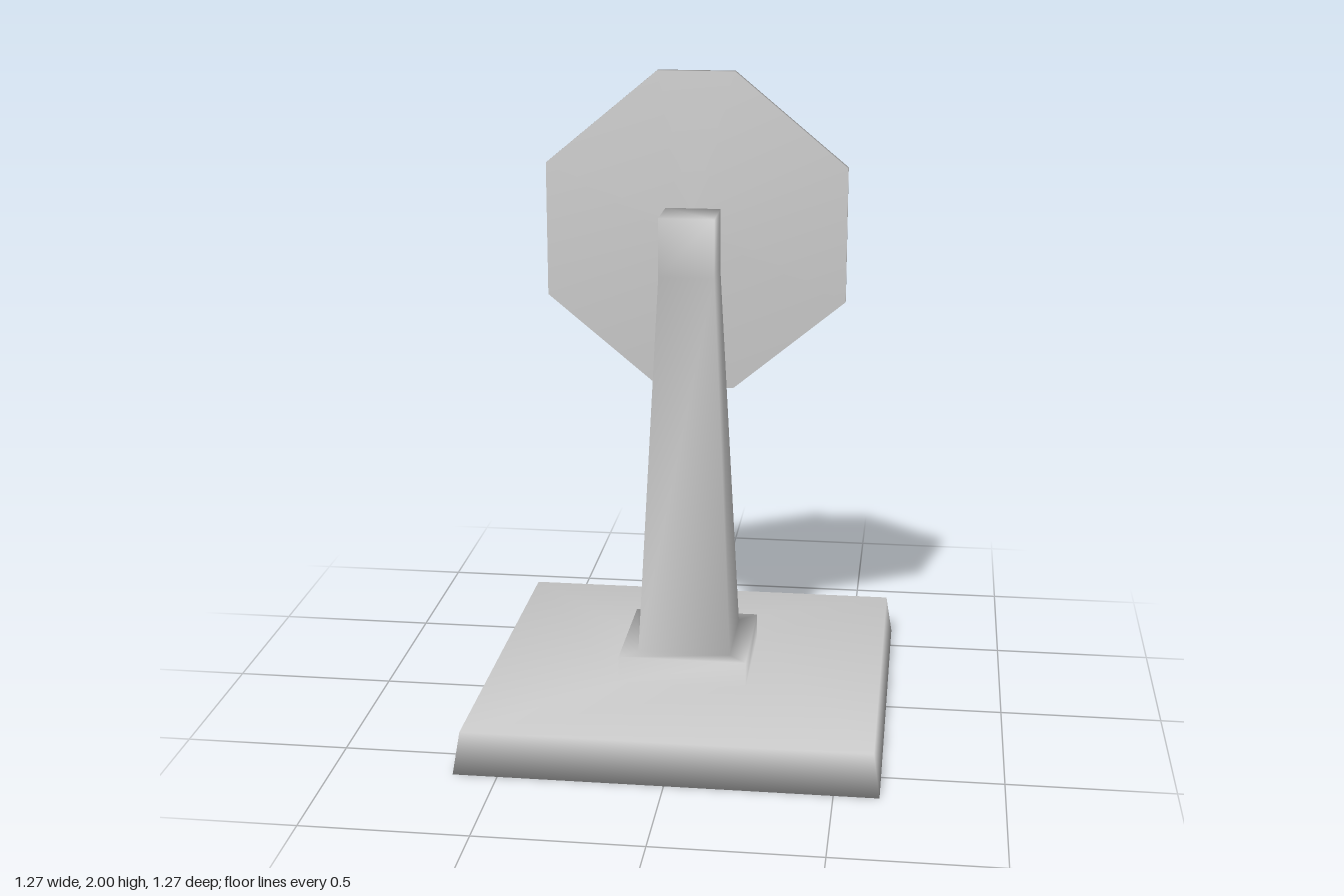
import * as THREE from 'three';

const grey = new THREE.MeshStandardMaterial({ color: 0xcccccc });

// Closed skin through rings of equal point count, with shared vertices for soft shading.
// Rings run counter-clockwise as seen from the end of the loft.
function loft(name, rings) {
  const n = rings[0].length;
  const pos = rings.flat(2);
  const idx = [];
  for (let i = 0; i < rings.length - 1; i++) {
    for (let j = 0; j < n; j++) {
      const k = (j + 1) % n;
      const a = i * n + j, b = i * n + k, c = a + n, d = b + n;
      idx.push(a, b, d, a, d, c);
    }
  }
  // flat end caps
  const last = (rings.length - 1) * n;
  for (let j = 1; j < n - 1; j++) {
    idx.push(0, j + 1, j);
    idx.push(last, last + j, last + j + 1);
  }
  const geo = new THREE.BufferGeometry();
  geo.setAttribute('position', new THREE.Float32BufferAttribute(pos, 3));
  geo.setIndex(idx);
  geo.computeVertexNormals();
  const mesh = new THREE.Mesh(geo, grey);
  mesh.name = name;
  return mesh;
}

const CENTRE_Y = 1.5;

// horizontal square ring, half size s at height y
const square = (s, y) => [[s, y, s], [s, y, -s], [-s, y, -s], [-s, y, s]];

// upright square ring around the dish axis
const mountRing = (s, z) => [[s, s], [s, -s], [-s, -s], [-s, s]]
  .map(([x, y]) => [x, CENTRE_Y + y, z]);

// upright eight-sided ring, scaled from the dish outline
const outline = [
  [0.12, 0.5], [0.47, 0.21], [0.47, -0.21], [0.12, -0.5],
  [-0.12, -0.5], [-0.47, -0.21], [-0.47, 0.21], [-0.12, 0.5],
];
const dishRing = (k, z) => outline.map(([x, y]) => [x * k, CENTRE_Y + y * k, z]);

export function createModel() {
  const model = new THREE.Group();
  model.name = 'dishOnStand';

  // base plate, plinth and tapering post in one skin
  model.add(loft('stand', [
    square(0.635, 0), square(0.615, 0.13),
    square(0.2, 0.13), square(0.2, 0.215),
    square(0.145, 0.215), square(0.085, 1.41), square(0.085, 1.59),
  ]));

  // tapered bracket on the back of the post
  model.add(loft('bracket', [
    mountRing(0.085, -0.08), mountRing(0.045, -0.125), mountRing(0.04, -0.15),
  ]));

  // eight-sided dish with its short neck, rim and shallow domed back
  model.add(loft('dish', [
    dishRing(0.09, -0.125), dishRing(0.1, -0.152),
    dishRing(1, -0.158), dishRing(1, -0.182), dishRing(0.1, -0.2),
  ]));

  return model;
}
